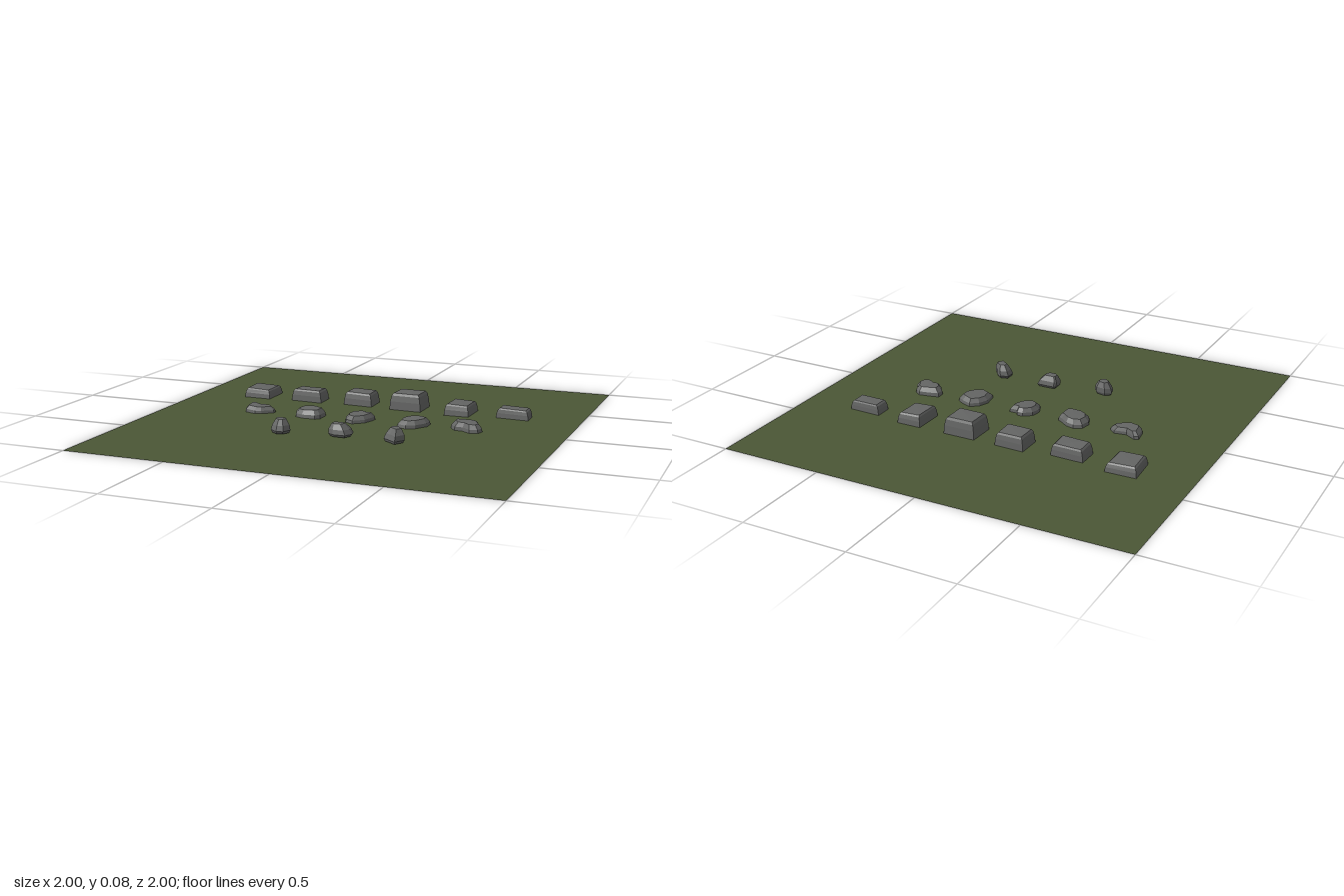
import * as THREE from 'three';

const stone = new THREE.MeshStandardMaterial({ name: 'grey stone', color: 0x646564, flatShading: true });
const grass = new THREE.MeshStandardMaterial({ name: 'moss green', color: 0x4b5735, side: THREE.DoubleSide });

// Closed faceted rock: an outline (x, z in hundredths, clockwise from above) stacked in
// layers [height, scale, shiftX, shiftZ]; tilt leans the upper surface along x and z.
function rock(name, outline, layers, tilt = [0, 0]) {
  const pts = [];
  for (let i = 0; i < outline.length; i += 2) pts.push([outline[i] / 100, outline[i + 1] / 100]);
  const n = pts.length;
  const cx = pts.reduce((s, p) => s + p[0], 0) / n;
  const cz = pts.reduce((s, p) => s + p[1], 0) / n;
  const positions = [];
  const index = [];
  const add = (dx, y, dz) => positions.push(dx, y * (1 + tilt[0] * dx + tilt[1] * dz), dz);
  layers.forEach(([y, s, sx = 0, sz = 0]) => {
    pts.forEach(([x, z]) => add((x - cx) * s + sx, y, (z - cz) * s + sz));
  });
  const [topY, , topX = 0, topZ = 0] = layers[layers.length - 1];
  add(0, layers[0][0], 0);
  add(topX, topY * 1.03, topZ);
  const bottom = n * layers.length;
  const last = n * (layers.length - 1);
  for (let i = 0; i < n; i++) {
    const j = (i + 1) % n;
    for (let k = 0; k < layers.length - 1; k++) {
      const a = k * n + i, b = k * n + j;
      index.push(a, a + n, b, b, a + n, b + n);
    }
    index.push(bottom, i, j, bottom + 1, last + j, last + i);
  }
  const geometry = new THREE.BufferGeometry();
  geometry.setAttribute('position', new THREE.Float32BufferAttribute(positions, 3));
  geometry.setIndex(index);
  const flat = geometry.toNonIndexed();
  flat.computeVertexNormals();
  const mesh = new THREE.Mesh(flat, stone);
  mesh.name = name;
  mesh.position.set(cx, 0, cz);
  return mesh;
}

export function createModel() {
  const model = new THREE.Group();
  model.name = 'stoneField';

  // Ground sheet
  const ground = new THREE.Mesh(new THREE.PlaneGeometry(2, 2).rotateX(-Math.PI / 2), grass);
  ground.name = 'ground';
  model.add(ground);

  // Back row: squared blocks, [corners, height, tilt]
  const blocks = [
    [[-75.4, -41.5, -60.3, -41.7, -60.3, -26, -74.5, -26.3], 0.045, [-0.8, 0]],
    [[-48.5, -38.5, -32.3, -38, -32, -27, -48.7, -28], 0.058, [0, 0.6]],
    [[-20, -41, -5.3, -40.5, -5, -28, -20.3, -29], 0.064, [-0.3, 0]],
    [[5.5, -40.5, 21.5, -40.5, 21.3, -26.5, 5, -27], 0.082, [0, 0]],
    [[34.5, -40.5, 46.7, -40.5, 46.3, -25.3, 34, -25], 0.053, [-0.8, 0]],
    [[59, -38, 75, -37.5, 75.3, -28.5, 59, -29.5], 0.047, [-0.4, 0]],
  ];
  const blockRow = new THREE.Group();
  blockRow.name = 'blockRow';
  blocks.forEach(([corners, h, tilt], i) => {
    const layers = [[0, 1], [h * 0.5, 0.96], [h * 0.85, 0.89], [h, 0.8]];
    blockRow.add(rock(`block${i + 1}`, corners, layers, tilt));
  });
  model.add(blockRow);

  // Middle row: flat irregular slabs, [outline, height, tilt]
  const slabs = [
    [[-61, -5, -59, -6, -54, -3, -48, -4, -45, -1, -45, 1, -50, 5, -53, 6, -59, 4, -60, 2], 0.031, [-1, 0]],
    [[-34, -1, -33, -6, -29, -8, -25, -7, -21, -4, -19, -3, -19, 4, -21, 6, -28, 6, -32, 4], 0.038, [1, 0]],
    [[-7, 1, -6, -4, -2, -7, 1, -7, 2, -5, 6, -5, 6, -2, 4, 4, -1, 8, -5, 6], 0.034, [0, -1]],
    [[20, -1, 22, -6, 26, -9, 31, -7, 34, -5, 34, 0, 30, 6, 26, 8, 21, 6], 0.034, [1, 0]],
    [[45, -2, 45, -6, 49, -7, 55, -8, 58, -6, 59, -3, 61, 0, 60, 4, 56, 5, 52, 2, 48, 2], 0.038, [-1, 0]],
  ];
  const slabRow = new THREE.Group();
  slabRow.name = 'slabRow';
  slabs.forEach(([outline, h, tilt], i) => {
    const layers = [[0, 1], [h * 0.45, 0.96], [h, 0.72]];
    slabRow.add(rock(`slab${i + 1}`, outline, layers, tilt));
  });
  model.add(slabRow);

  // Front row: small upright pebbles, undercut at the foot, [outline, height, lean x, lean z]
  const pebbles = [
    [[-30, 34, -27, 32, -22, 33, -20, 36, -22, 40, -25, 41, -29, 38], 0.068, 0, -0.008],
    [[-2, 29, -1, 28, 8, 28, 9, 32, 7, 36, 1, 36, -2, 34], 0.062, -0.01, 0],
    [[25, 29, 29, 28, 32, 30, 35, 34, 32, 39, 28, 36, 25, 34], 0.068, 0.008, -0.004],
  ];
  const pebbleRow = new THREE.Group();
  pebbleRow.name = 'pebbleRow';
  pebbles.forEach(([outline, h, sx, sz], i) => {
    const layers = [[0.004, 0.85], [h * 0.25, 1], [h * 0.6, 0.88, sx * 0.5, sz * 0.5], [h, 0.52, sx, sz]];
    pebbleRow.add(rock(`pebble${i + 1}`, outline, layers));
  });
  model.add(pebbleRow);

  return model;
}
